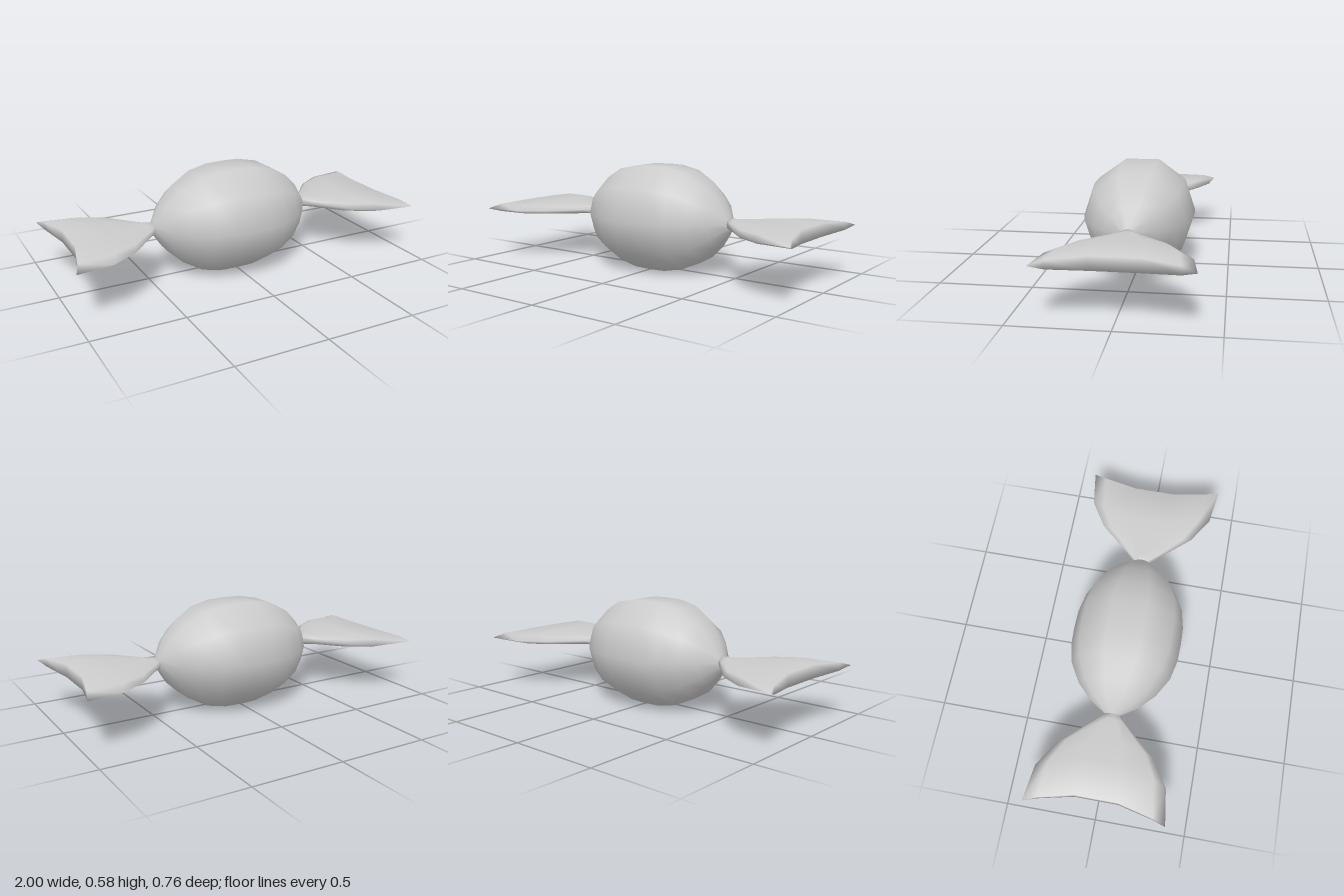
import * as THREE from 'three';

const SIDES = 10;
const MID_Y = 0.29;

// Skin ten-sided rings strung along x; each ring is [x, half depth, half height, bow],
// where bow pulls the middle of the ring back towards the body.
function loft(rings) {
  const pos = [], idx = [];
  for (const [x, rz, ry, bow = 0] of rings) {
    for (let k = 0; k < SIDES; k++) {
      const a = (k / SIDES) * Math.PI * 2;
      const c = Math.cos(a);
      pos.push(x - bow * (1 - c * c), ry * Math.sin(a), rz * c);
    }
  }
  for (let i = 0; i < rings.length - 1; i++) {
    for (let k = 0; k < SIDES; k++) {
      const a = i * SIDES + k, b = a + SIDES;
      const c = i * SIDES + (k + 1) % SIDES, d = c + SIDES;
      idx.push(a, b, c, b, d, c);
    }
  }
  // End caps, closed in strips between the upper and lower half of the ring
  const last = (rings.length - 1) * SIDES;
  for (let k = 0; k < SIDES / 2; k++) {
    const a = k, b = k + 1, c = SIDES - k - 1, d = (SIDES - k) % SIDES;
    for (const [p, q, r] of [[a, b, c], [a, c, d]]) {
      if (p === q || q === r || p === r) continue;
      idx.push(p, q, r, last + p, last + r, last + q);
    }
  }
  const geo = new THREE.BufferGeometry();
  geo.setAttribute('position', new THREE.Float32BufferAttribute(pos, 3));
  geo.setIndex(idx);
  geo.computeVertexNormals();
  return geo;
}

export function createModel() {
  const group = new THREE.Group();
  group.name = 'wrappedCandy';
  const material = new THREE.MeshStandardMaterial({ color: 0xcccccc });

  const add = (name, geometry) => {
    const mesh = new THREE.Mesh(geometry, material);
    mesh.name = name;
    mesh.position.y = MID_Y;
    group.add(mesh);
    return mesh;
  };

  // Plump sweet: half profile mirrored about the middle
  const half = [[0.1, 0.302], [0.21, 0.278], [0.32, 0.215], [0.4, 0.138], [0.465, 0.04]];
  const profile = [...half.map(([x, r]) => [-x, r]).reverse(), [0, 0.305], ...half];
  add('candyBody', loft(profile.map(([x, r]) => [x, r, r])));

  // Flattened wrapper ends, pinched at the body and fanning outwards
  const tail = loft([
    [0.455, 0.03, 0.032],
    [0.505, 0.085, 0.028, 0.01],
    [0.66, 0.262, 0.034, 0.05],
    [0.805, 0.352, 0.039, 0.08],
    [1.0, 0.38, 0.037, 0.08],
  ]);
  add('leftWrapperEnd', tail);
  add('rightWrapperEnd', tail).rotation.y = Math.PI;

  return group;
}
